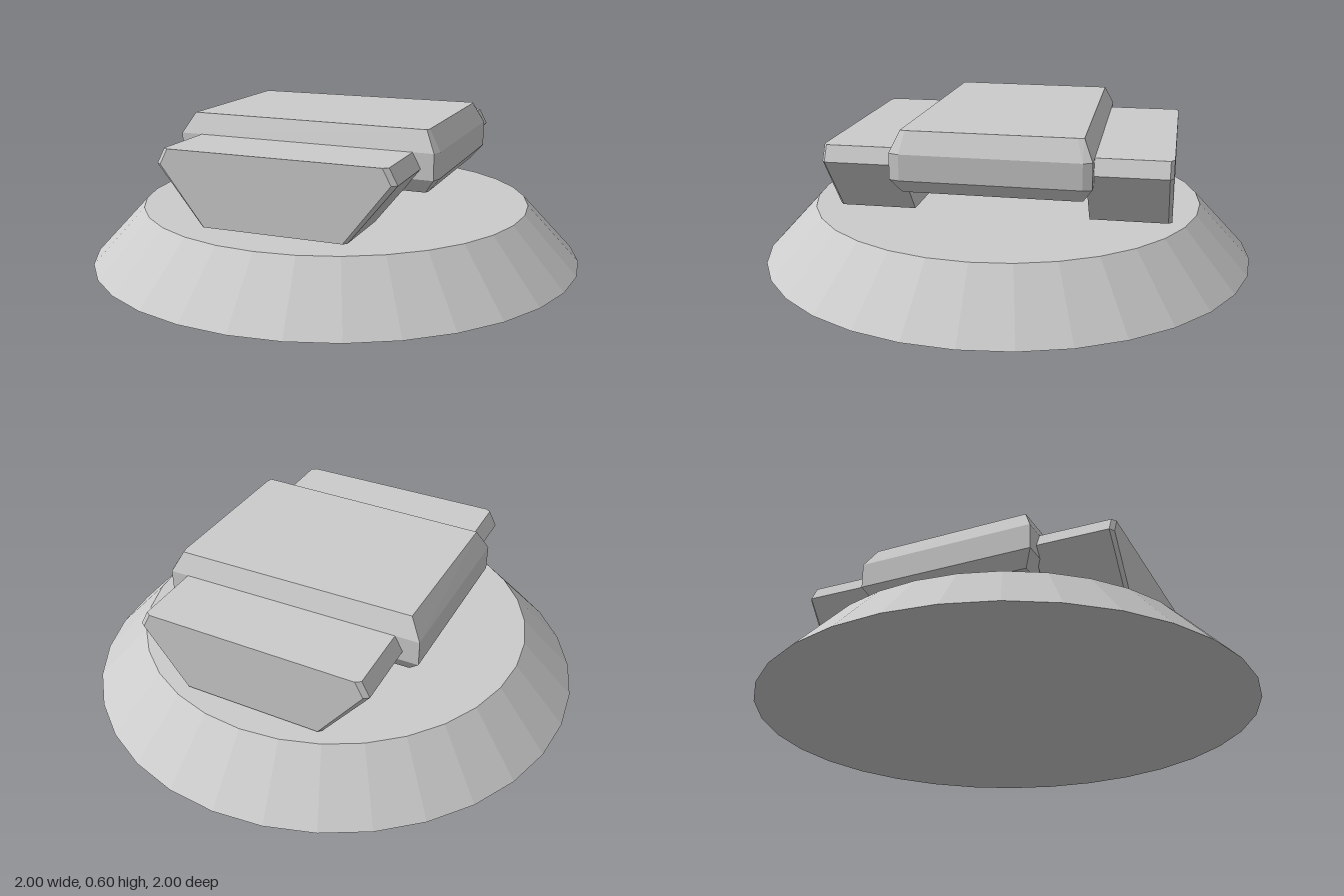
import * as THREE from 'three';

const material = new THREE.MeshStandardMaterial({ color: 0xcccccc, flatShading: true, roughness: 0.8 });

// Closed solid through convex rings, each counter-clockwise about the stacking direction
function loft(name, rings) {
  const n = rings[0].length;
  const index = [];
  for (let r = 0; r < rings.length - 1; r++) {
    for (let i = 0; i < n; i++) {
      const j = (i + 1) % n, a = r * n, b = a + n;
      index.push(a + i, a + j, b + j, a + i, b + j, b + i);
    }
  }
  const last = (rings.length - 1) * n;
  for (let i = 1; i < n - 1; i++) {
    index.push(0, i + 1, i);
    index.push(last, last + i, last + i + 1);
  }
  const indexed = new THREE.BufferGeometry();
  indexed.setAttribute('position', new THREE.Float32BufferAttribute(rings.flat(2), 3));
  indexed.setIndex(index);
  const geometry = indexed.toNonIndexed();
  geometry.computeVertexNormals();
  const mesh = new THREE.Mesh(geometry, material);
  mesh.name = name;
  return mesh;
}

// Tapered end block: six-sided profile run along z, slightly skewed, outer end bevelled
function endBlock(name, zBack, zFront, skew, shift, bevelFront) {
  const ring = (z, inset) => [
    [-0.29 + inset * 0.7, 0.235], [0.29 - inset * 0.7, 0.235], [0.472 - inset, 0.46],
    [0.44 - inset, 0.52], [-0.44 + inset, 0.52], [-0.472 + inset, 0.46],
  ].map(([x, y]) => [x + shift, y, z + skew * x]);
  const rings = bevelFront
    ? [ring(zBack, 0), ring(zFront - 0.014, 0), ring(zFront, 0.02)]
    : [ring(zBack, 0.02), ring(zBack + 0.014, 0), ring(zFront, 0)];
  return loft(name, rings);
}

export function createModel() {
  const group = new THREE.Group();
  group.name = 'pedestalWithBlocks';

  // Wide faceted base
  const base = new THREE.Mesh(new THREE.CylinderGeometry(0.79, 1, 0.225, 32), material);
  base.name = 'base';
  base.position.y = 0.1125;
  group.add(base);

  // Central slab, chamfered above and below, with narrow cut corners on its left side
  const outer = [[-0.535, 0.325], [0.515, 0.355], [0.528, 0.315], [0.536, -0.36], [0.525, -0.395], [-0.525, -0.395]];
  const inner = [[-0.49, 0.29], [0.477, 0.32], [0.483, 0.3], [0.49, -0.335], [0.485, -0.36], [-0.478, -0.36]];
  const level = (points, y) => points.map(([x, z]) => [x, y, z]);
  group.add(loft('centralSlab', [
    level(inner, 0.365), level(outer, 0.42), level(outer, 0.52), level(inner, 0.6),
  ]));

  // Blocks projecting from under the slab
  group.add(endBlock('frontBlock', 0.32, 0.63, 0.015, -0.006, true));
  group.add(endBlock('backBlock', -0.685, -0.372, 0.012, 0.01, false));

  return group;
}
